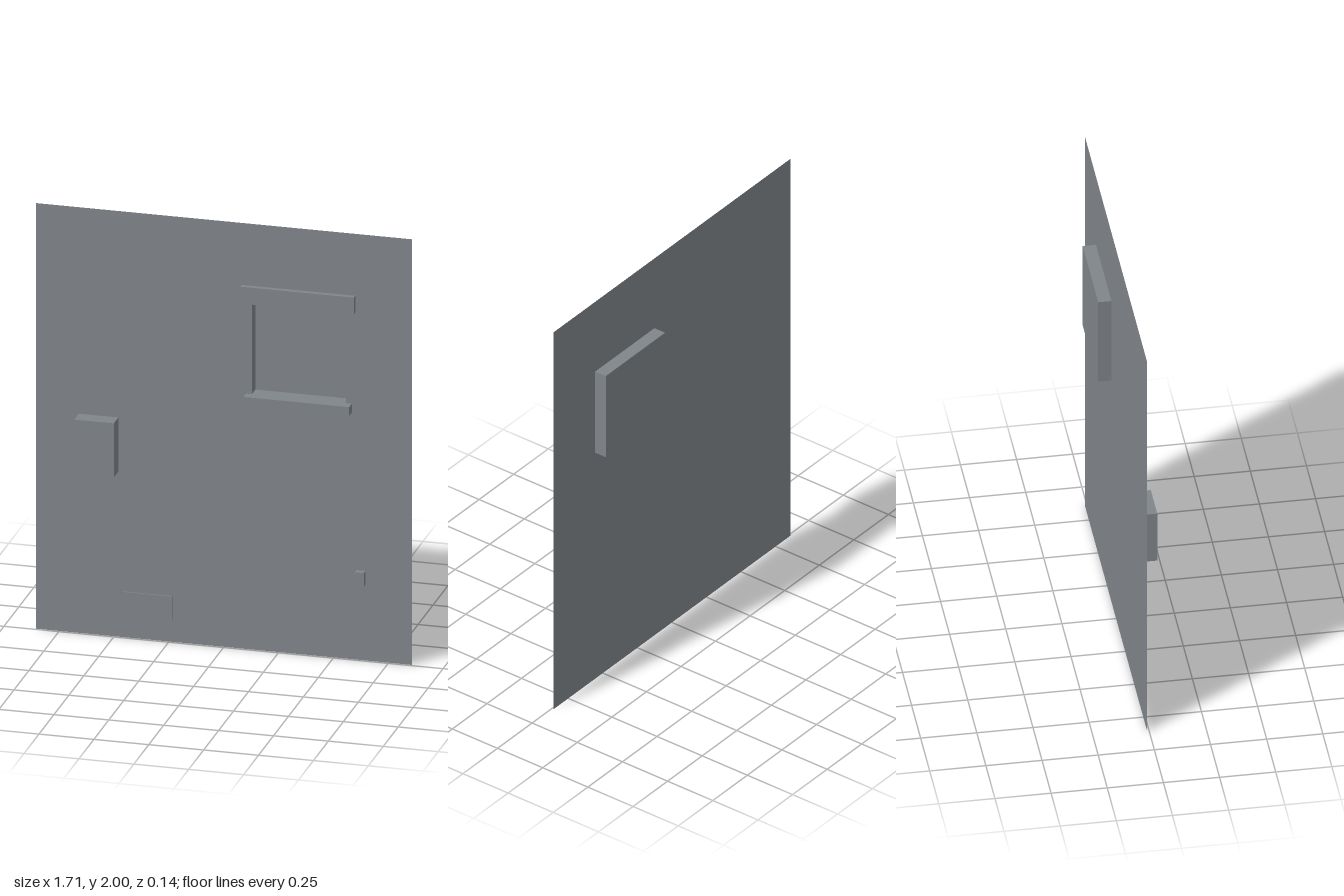
import * as THREE from 'three';

const WALL_Z = -0.009;

export function createModel() {
  const model = new THREE.Group();
  const plaster = new THREE.MeshStandardMaterial({ color: 0x80858a, side: THREE.DoubleSide });
  plaster.name = 'grey plaster';

  function add(name, geometry, x = 0, y = 0, z = WALL_Z) {
    const mesh = new THREE.Mesh(geometry, plaster);
    mesh.name = name;
    mesh.position.set(x, y, z);
    model.add(mesh);
  }

  // Window opening shared by the wall and the recess
  const [x0, x1, y0, y1] = [0.127, 0.556, 1.2, 1.63];
  const w = x1 - x0, h = y1 - y0, depth = 0.059;

  // Thin wall sheet with a window hole
  const wall = new THREE.Shape([[-0.857, 0], [0.857, 0], [0.857, 2], [-0.857, 2]]
    .map(([x, y]) => new THREE.Vector2(x, y)));
  wall.holes.push(new THREE.Path([[x0, y0], [x0, y1], [x1, y1], [x1, y0]]
    .map(([x, y]) => new THREE.Vector2(x, y))));
  add('wall', new THREE.ShapeGeometry(wall));

  // Window recess: a box open at the front
  const recess = new THREE.BoxGeometry(w, h, depth);
  const index = Array.from(recess.index.array);
  index.splice(24, 6); // drop the +z face
  recess.setIndex(index);
  recess.clearGroups();
  add('windowRecess', recess, (x0 + x1) / 2, (y0 + y1) / 2, WALL_Z - depth / 2);

  // Fittings standing out from the wall: left, right, bottom, top, depth
  const fittings = {
    lintel: [0.08, 0.598, 1.63, 1.709, 0.024],
    windowSill: [0.1, 0.582, 1.158, 1.2, 0.044],
    meterBox: [-0.661, -0.481, 0.776, 1.03, 0.077],
    ventPlate: [-0.46, -0.233, 0.103, 0.215, 0.007],
    outletBox: [0.603, 0.645, 0.357, 0.421, 0.03],
  };
  for (const [name, [l, r, b, t, d]] of Object.entries(fittings)) {
    add(name, new THREE.BoxGeometry(r - l, t - b, d), (l + r) / 2, (b + t) / 2, WALL_Z + d / 2);
  }
  return model;
}
